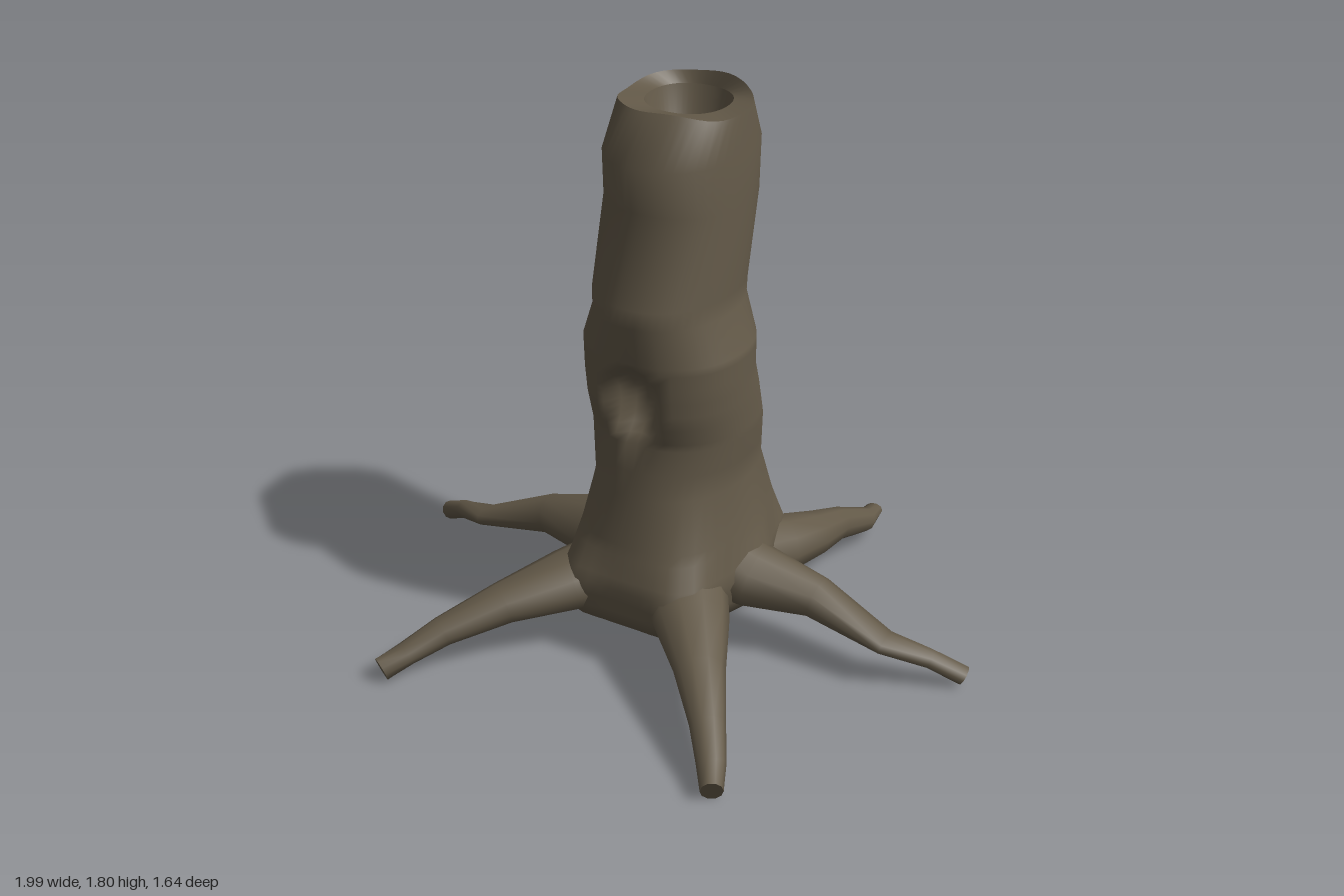
import * as THREE from 'three';

const SEG = 48;
const ROOT_ANGLES = [40, 92, 138, 222, 268, 320]; // degrees from the front

// Skin a list of closed rings; optionally close each end with a centre point.
function loft(rings, startCentre, endCentre) {
  const n = rings[0].length, pos = [], idx = [];
  rings.forEach(r => r.forEach(p => pos.push(p.x, p.y, p.z)));
  for (let i = 0; i < rings.length - 1; i++) {
    for (let j = 0; j < n; j++) {
      const a = i * n + j, b = i * n + (j + 1) % n;
      idx.push(a, b, b + n, a, b + n, a + n);
    }
  }
  const cap = (centre, base, flip) => {
    const c = pos.length / 3;
    pos.push(centre.x, centre.y, centre.z);
    for (let j = 0; j < n; j++) {
      const a = base + j, b = base + (j + 1) % n;
      if (flip) idx.push(c, b, a); else idx.push(c, a, b);
    }
  };
  if (startCentre) cap(startCentre, 0, true);
  if (endCentre) cap(endCentre, (rings.length - 1) * n, false);
  const g = new THREE.BufferGeometry();
  g.setAttribute('position', new THREE.Float32BufferAttribute(pos, 3));
  g.setIndex(idx);
  g.computeVertexNormals();
  return g;
}

// Rounded-square ring (power 2 is an ellipse), swelling towards the roots near the ground.
function trunkRing(y, rx, front, back, power, xc = 0) {
  const ring = [], zc = (front + back) / 2, rz = (front - back) / 2;
  const swell = 0.2 * Math.max(0, 1 - Math.abs(y - 0.23) / 0.24);
  for (let j = 0; j < SEG; j++) {
    const a = j / SEG * Math.PI * 2, s = Math.sin(a), c = Math.cos(a);
    let k = Math.pow(Math.abs(s) ** power + Math.abs(c) ** power, -1 / power);
    for (const deg of ROOT_ANGLES) k *= 1 + swell * Math.exp(-(((a * 180 / Math.PI - deg) / 17) ** 2));
    ring.push(new THREE.Vector3(xc + rx * s * k, y, zc + rz * c * k));
  }
  return ring;
}

const copyRing = ring => ring.map(p => p.clone());

function trunkGeometry() {
  // height, half width, front z, back z, squareness, steps up to the next key
  const keys = [
    [0.10, 0.18, 0.20, -0.29, 2.5, 1],
    [0.15, 0.25, 0.33, -0.34, 2.5, 3],
    [0.28, 0.28, 0.34, -0.35, 2.4, 4],
    [0.42, 0.267, 0.30, -0.34, 2.3, 1],
    [0.58, 0.24, 0.265, -0.315, 2.2, 2],
    [0.75, 0.258, 0.24, -0.28, 2.2, 4],
    [0.86, 0.26, 0.268, -0.25, 2.2, 4],
    [0.95, 0.26, 0.275, -0.217, 2.2, 4],
    [1.05, 0.26, 0.282, -0.222, 2.2, 1],
    [1.17, 0.215, 0.288, -0.228, 2.2, 1],
    [1.23, 0.216, 0.288, -0.234, 2.2, 1],
    [1.50, 0.222, 0.20, -0.277, 2.2, 1],
    [1.65, 0.214, 0.228, -0.312, 2.2, 1],
  ];
  const rings = [];
  keys.forEach((a, i) => {
    const b = keys[i + 1] || a, steps = a[5];
    for (let s = 0; s < steps; s++) {
      rings.push(trunkRing(...a.slice(0, 5).map((v, k) => v + (b[k] - v) * s / steps)));
    }
  });

  // Knot hole pressed into the front
  rings.forEach(r => r.forEach(p => {
    const d = Math.hypot(p.x / 0.1, (p.y - 0.89) / 0.15);
    if (p.z > 0 && d < 1) p.z -= 0.11 * (1 - d * d);
  }));

  // Uneven broken rim
  const rim = trunkRing(1.785, 0.203, 0.115, -0.235, 2.2);
  rim.forEach((p, j) => {
    const a = j / SEG * Math.PI * 2;
    p.y += 0.012 * Math.cos(2 * a) - 0.01 * Math.cos(a) + 0.004 * Math.sin(5 * a);
  });

  // Flat lip and the hollow inside the top
  const lip = trunkRing(1.762, 0.13, 0.03, -0.225, 2.2, -0.01);
  rings.push(rim, copyRing(rim), lip, copyRing(lip));
  rings.push(trunkRing(1.64, 0.10, 0.0, -0.19, 2.2, -0.01));
  rings.push(trunkRing(1.58, 0.06, -0.04, -0.15, 2, -0.01));
  return loft(rings, new THREE.Vector3(0, 0.065, -0.10), new THREE.Vector3(-0.01, 1.57, -0.09));
}

// Root along a path of [x, y, z, half width, half height]
function rootGeometry(path, side) {
  const n = 10, up = new THREE.Vector3(0, 1, 0);
  const pts = path.map(p => new THREE.Vector3(p[0] * side, p[1], p[2]));
  const rings = pts.map((c, i) => {
    const d = pts[Math.min(i + 1, pts.length - 1)].clone().sub(pts[Math.max(i - 1, 0)]).normalize();
    const A = up.clone().cross(d).normalize(), B = d.clone().cross(A);
    return Array.from({ length: n }, (_, j) => {
      const a = j / n * Math.PI * 2;
      return c.clone().addScaledVector(A, Math.cos(a) * path[i][3]).addScaledVector(B, Math.sin(a) * path[i][4]);
    });
  });
  rings.push(copyRing(rings[rings.length - 1])); // crisp cut end
  return loft(rings, null, pts[pts.length - 1]);
}

export function createModel() {
  const group = new THREE.Group();
  group.name = 'treeStump';
  const bark = new THREE.MeshStandardMaterial({ color: 0x645a49 });
  bark.name = 'bark';

  const add = (name, geometry) => {
    const mesh = new THREE.Mesh(geometry, bark);
    mesh.name = name;
    group.add(mesh);
  };
  add('trunk', trunkGeometry());

  const roots = {
    SideRoot: [
      [0.10, 0.29, 0.0, 0.15, 0.13], [0.30, 0.25, 0.0, 0.12, 0.10], [0.50, 0.215, -0.035, 0.075, 0.065],
      [0.75, 0.145, -0.012, 0.055, 0.028], [0.88, 0.10, -0.065, 0.036, 0.03], [0.98, 0.045, -0.108, 0.03, 0.032],
    ],
    FrontRoot: [
      [0.10, 0.25, 0.12, 0.14, 0.12], [0.23, 0.22, 0.29, 0.12, 0.09], [0.36, 0.185, 0.46, 0.08, 0.062],
      [0.48, 0.13, 0.62, 0.055, 0.045], [0.55, 0.08, 0.72, 0.045, 0.035], [0.594, 0.048, 0.793, 0.035, 0.042],
    ],
    BackRoot: [
      [0.15, 0.23, -0.10, 0.13, 0.12], [0.24, 0.205, -0.27, 0.10, 0.10], [0.285, 0.18, -0.42, 0.073, 0.078],
      [0.302, 0.15, -0.56, 0.05, 0.058], [0.33, 0.088, -0.73, 0.035, 0.042], [0.318, 0.08, -0.818, 0.03, 0.022],
    ],
  };
  for (const [name, path] of Object.entries(roots)) {
    add('left' + name, rootGeometry(path, 1));
    add('right' + name, rootGeometry(path, -1));
  }
  return group;
}
